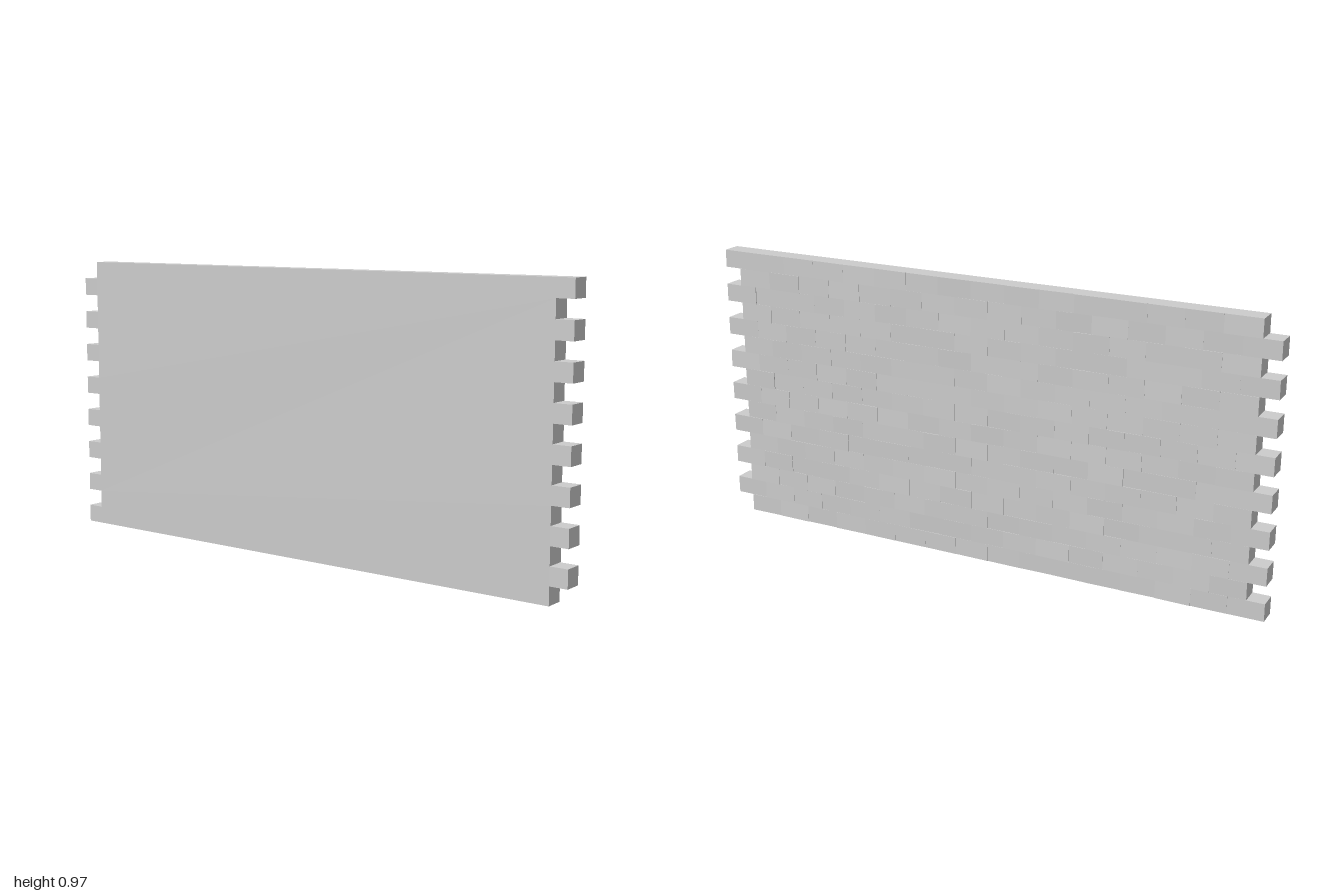
import * as THREE from 'three';
import { mergeGeometries } from 'three/addons/utils/BufferGeometryUtils.js';

const ROWS = 16, PER_ROW = 16;
const HEIGHT = 0.97, COURSE = HEIGHT / ROWS;
const BRICK = 2 / (PER_ROW + 0.5), SHIFT = BRICK / 2; // half-brick stagger
const BACK = -0.035, CORE = 0.026, FACE = 0.0305;

// Small seeded generator, returns -1..1
function makeRandom(seed) {
  return () => {
    seed = (seed * 16807) % 2147483647;
    return (seed / 2147483647) * 2 - 1;
  };
}

// Lowest z of a course: even courses reach the back end, odd ones the front end
const courseStart = (row) => -1 + (row % 2 ? SHIFT : 0);

// Solid wall body with toothed ends, extruded through the thickness
function wallCore() {
  const near = [], far = [];
  for (let r = 0; r < ROWS; r++) {
    const z0 = courseStart(r), z1 = z0 + PER_ROW * BRICK;
    for (const y of [r * COURSE, (r + 1) * COURSE]) {
      far.push(new THREE.Vector2(-z0, y));
      near.unshift(new THREE.Vector2(-z1, y));
    }
  }
  const geometry = new THREE.ExtrudeGeometry(new THREE.Shape([...far, ...near]), {
    depth: CORE - BACK, bevelEnabled: false,
  });
  return geometry.rotateY(Math.PI / 2).translate(BACK, 0, 0);
}

// One brick front, standing out by a varying amount and slightly tilted
function brickFace(row, column, random) {
  const geometry = new THREE.BoxGeometry(FACE - CORE, COURSE, BRICK);
  const out = random() * 0.0012, tiltY = random() * 0.001, tiltZ = random() * 0.0012;
  const p = geometry.attributes.position;
  for (let i = 0; i < p.count; i++) {
    if (p.getX(i) > 0) {
      p.setX(i, p.getX(i) + out + tiltY * Math.sign(p.getY(i)) + tiltZ * Math.sign(p.getZ(i)));
    }
  }
  geometry.computeVertexNormals();
  return geometry.translate(
    (CORE + FACE) / 2, (row + 0.5) * COURSE, courseStart(row) + (column + 0.5) * BRICK);
}

export function createModel() {
  const group = new THREE.Group();
  group.name = 'brickWall';
  const material = new THREE.MeshStandardMaterial({ color: 0xcccccc, flatShading: true });

  const core = new THREE.Mesh(wallCore(), material);
  core.name = 'wallCore';
  group.add(core);

  // Uneven brick fronts, one mesh per course
  const random = makeRandom(4711);
  for (let r = 0; r < ROWS; r++) {
    const bricks = [];
    for (let c = 0; c < PER_ROW; c++) bricks.push(brickFace(r, c, random));
    const course = new THREE.Mesh(mergeGeometries(bricks), material);
    course.name = `brickCourse${r + 1}`;
    group.add(course);
  }
  return group;
}
